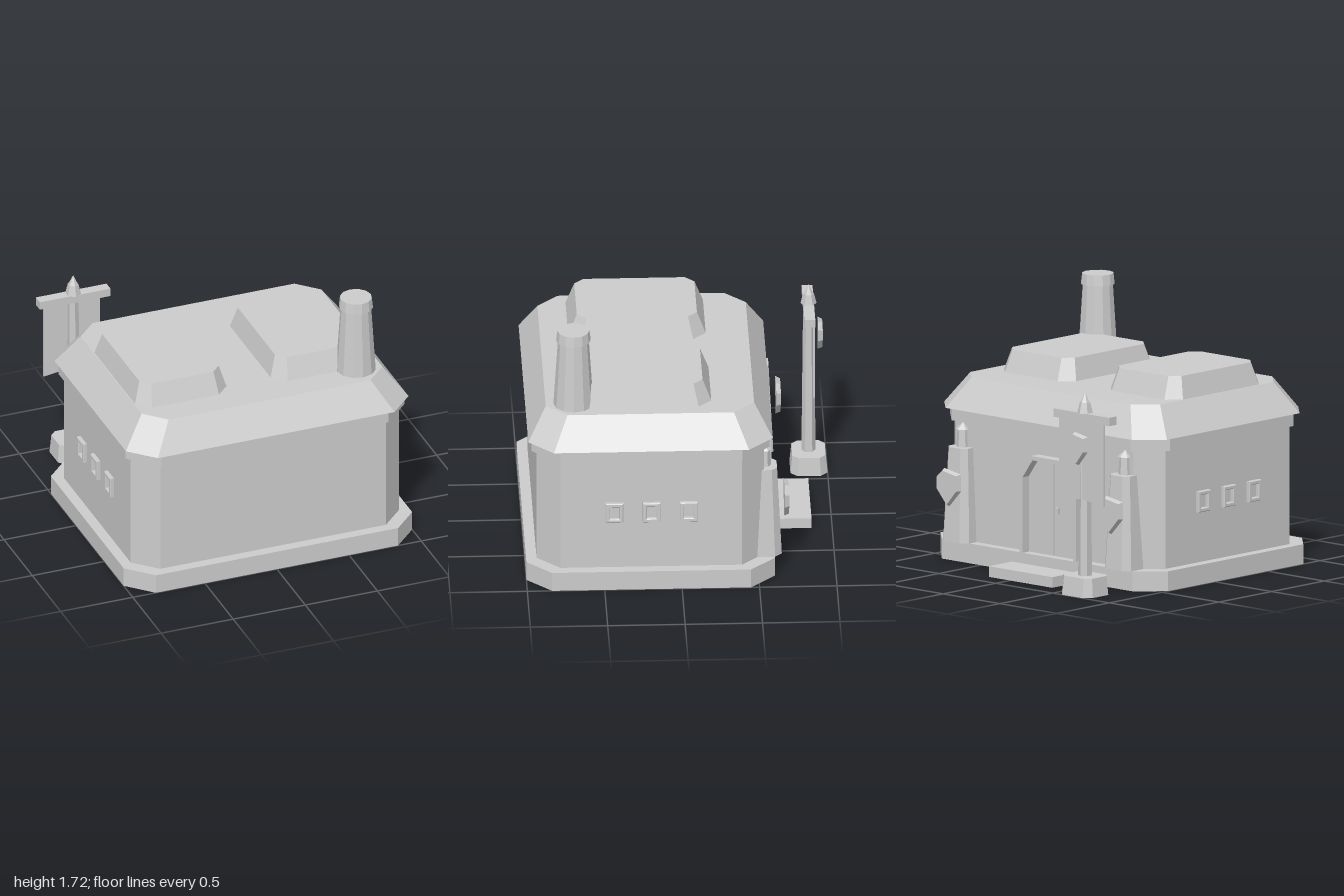
import * as THREE from 'three';

// Double-sided, because several parts are shells open at the bottom
const stone = new THREE.MeshStandardMaterial({ color: 0xcccccc, side: THREE.DoubleSide });
stone.name = 'plain grey';

const CZ = 0.197; // centre of the building in z

function add(parent, name, geo, x = 0, y = 0, z = 0) {
  const mesh = new THREE.Mesh(geo, stone);
  mesh.name = name;
  mesh.position.set(x, y, z);
  parent.add(mesh);
  return mesh;
}

// Rectangle with cut corners, half sizes hx and hz
function outline(hx, hz, c) {
  return [[hx, -hz + c], [hx, hz - c], [hx - c, hz], [-hx + c, hz],
    [-hx, hz - c], [-hx, -hz + c], [-hx + c, -hz], [hx - c, -hz]];
}

// Flat-sided solid between two outlines in the xz plane; open leaves out the bottom
function loft(a, b, y0, y1, open = false) {
  const pos = [];
  a.forEach((p, i) => {
    const j = (i + 1) % a.length;
    const a0 = [p[0], y0, p[1]], a1 = [a[j][0], y0, a[j][1]];
    const b0 = [b[i][0], y1, b[i][1]], b1 = [b[j][0], y1, b[j][1]];
    pos.push(...a0, ...b0, ...b1, ...a0, ...b1, ...a1, 0, y1, 0, ...b1, ...b0);
    if (!open) pos.push(0, y0, 0, ...a0, ...a1);
  });
  const g = new THREE.BufferGeometry();
  g.setAttribute('position', new THREE.Float32BufferAttribute(pos, 3));
  g.computeVertexNormals();
  return g;
}

function block(lower, upper, y0, y1, open) {
  return loft(outline(...lower), outline(...upper), y0, y1, open);
}

function column(rTop, rBottom, y0, y1, sides) {
  const g = new THREE.CylinderGeometry(rTop, rBottom, y1 - y0, sides).toNonIndexed();
  g.translate(0, (y0 + y1) / 2, 0);
  g.computeVertexNormals();
  return g;
}

function shapeOf(points) {
  return new THREE.Shape(points.map(p => new THREE.Vector2(...p)));
}

function plate(shape, depth) {
  return new THREE.ExtrudeGeometry(shape, { depth, bevelEnabled: false });
}

// Shield facing -z, narrowing to the front, its back plane at z = 0
function shield(w, h) {
  const sized = (sw, sh) => [[-0.5, 0.4], [-0.5, -0.06], [0, -0.5], [0.5, -0.06], [0.5, 0.3], [0.22, 0.5]]
    .map(([x, y]) => [x * sw, y * sh]);
  return loft(sized(w, h), sized(w - 0.03, h - 0.025), 0, 0.03).rotateX(-Math.PI / 2);
}

// Door outline with cut upper corners
function arch(half, top, side, cut) {
  return [[-half, 0.13], [half, 0.13], [half, side], [half - cut, top], [-half + cut, top], [-half, side]];
}

export function createModel() {
  const model = new THREE.Group();
  model.name = 'house';

  // Main body, bottom to top; the foundation is hollow underneath
  add(model, 'foundation', block([1, 0.803, 0.16], [1, 0.803, 0.16], 0, 0.13, true), 0, 0, CZ);
  add(model, 'walls', block([0.93, 0.735, 0.148], [0.93, 0.735, 0.148], 0.13, 0.91), 0, 0, CZ);
  add(model, 'eaveBand', block([0.967, 0.768, 0.18], [0.967, 0.768, 0.18], 0.91, 0.99), 0, 0, CZ);
  add(model, 'roof', block([0.98, 0.79, 0.16], [0.835, 0.673, 0.135], 0.99, 1.19), 0, 0, CZ);
  for (const x of [-0.511, 0.429]) {
    add(model, 'roofBlock', block([0.317, 0.444, 0.085], [0.275, 0.388, 0.06], 1.19, 1.335), x, 0, 0.243);
  }

  // Chimney
  const chimney = new THREE.Group();
  chimney.name = 'chimney';
  chimney.position.set(0.669, 0, 0.69);
  add(chimney, 'chimneyStack', column(0.1, 0.13, 1.18, 1.65, 12));
  add(chimney, 'chimneyCap', column(0.104, 0.112, 1.65, 1.72, 12));
  model.add(chimney);

  // Side windows: hollow frames standing off the wall
  const rect = (w, h) => [[-w, -h], [w, -h], [w, h], [-w, h]];
  const frame = shapeOf(rect(0.052, 0.064));
  frame.holes.push(new THREE.Path(rect(0.036, 0.048).map(p => new THREE.Vector2(...p))));
  const frameGeo = new THREE.ExtrudeGeometry(frame, {
    depth: 0.02, bevelEnabled: true, bevelThickness: 0.006, bevelSize: 0.005, bevelSegments: 1,
  });
  for (const side of [-1, 1]) {
    for (const z of [0.435, 0.195, -0.045]) {
      add(model, 'windowFrame', frameGeo, side * 0.93, 0.53, z).rotation.y = side * Math.PI / 2;
    }
  }

  // Back door: thin frame around two recessed leaves
  const door = new THREE.Group();
  door.name = 'door';
  door.position.x = -0.096;
  const surround = shapeOf(arch(0.25, 0.775, 0.635, 0.1));
  surround.holes.push(new THREE.Path(arch(0.222, 0.748, 0.626, 0.086).map(p => new THREE.Vector2(...p))));
  add(door, 'doorFrame', plate(surround, 0.075), 0, 0, -0.61);
  for (const s of [-1, 1]) {
    const leaf = shapeOf([[0.004, 0.13], [0.222, 0.13], [0.222, 0.626], [0.136, 0.748], [0.004, 0.748]]
      .map(([x, y]) => [x * s, y]));
    add(door, 'doorLeaf', plate(leaf, 0.015), 0, 0, -0.55);
  }
  add(door, 'doorHandle', new THREE.BoxGeometry(0.03, 0.04, 0.02), -0.035, 0.43, -0.558);
  model.add(door);

  // Door step, hollow underneath
  add(model, 'doorStep', loft(rect(0.28, 0.11), rect(0.28, 0.11), 0, 0.07, true)
    .rotateY(Math.PI), -0.095, 0, -0.757);

  // Corner buttresses with finials and shields
  for (const x of [-0.713, 0.713]) {
    const buttress = new THREE.Group();
    buttress.name = 'buttress';
    buttress.position.set(x, 0, -0.54);
    add(buttress, 'buttressShaft', block([0.115, 0.112, 0.045], [0.085, 0.082, 0.035], 0.13, 0.745));
    add(buttress, 'finialPost', column(0.038, 0.046, 0.745, 0.86, 6));
    add(buttress, 'finialRoof', column(0, 0.05, 0.86, 0.905, 6));
    add(buttress, 'buttressShield', shield(0.2, 0.245), 0, 0.492, -0.13);
    model.add(buttress);
  }

  // Free-standing banner
  const banner = new THREE.Group();
  banner.name = 'bannerStand';
  banner.position.set(-0.675, 0, -0.88);
  add(banner, 'bannerFoot', block([0.135, 0.12, 0.045], [0.125, 0.108, 0.04], 0, 0.125, true));
  add(banner, 'bannerPole', column(0.035, 0.046, 0.125, 1.19, 6));
  add(banner, 'crossbar', new THREE.BoxGeometry(0.49, 0.055, 0.07), 0, 1.165, 0);
  add(banner, 'poleCollar', column(0.035, 0.052, 1.19, 1.26, 6));
  add(banner, 'poleTip', column(0, 0.032, 1.26, 1.325, 6));
  const cloth = shapeOf([[-0.195, 0.6], [0, 0.63], [0.195, 0.6], [0.195, 1.16], [-0.195, 1.16]]);
  add(banner, 'bannerCloth', plate(cloth, 0.015), 0, 0, -0.036);
  add(banner, 'bannerShield', shield(0.158, 0.215), 0, 0.962, -0.06);
  model.add(banner);

  return model;
}
